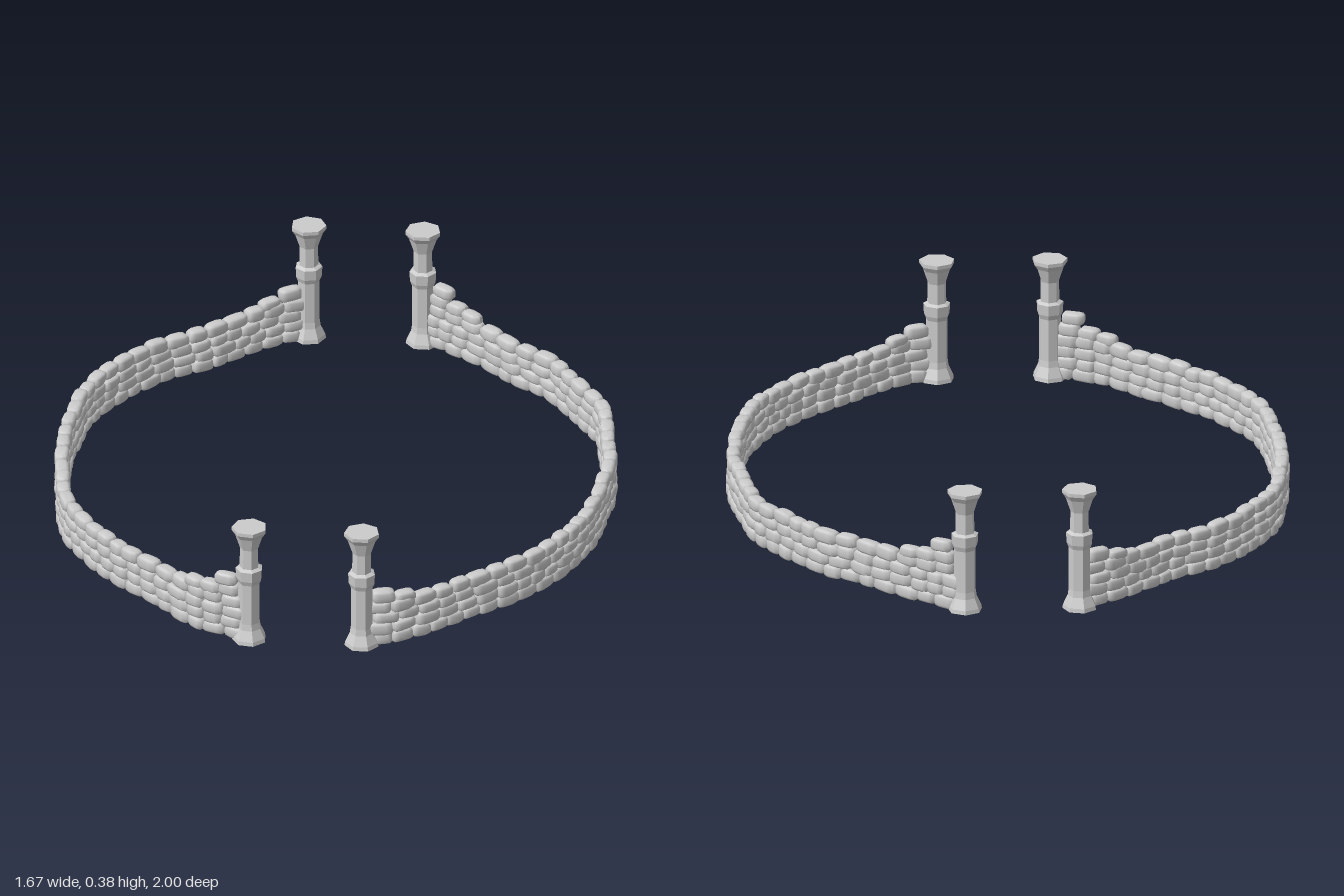
import * as THREE from 'three';

const stoneMat = new THREE.MeshStandardMaterial({ color: 0xcccccc });
const columnMat = new THREE.MeshStandardMaterial({ color: 0xcccccc, flatShading: true });

// small seeded generator, returns -1..1
function makeJitter(seed) {
  return () => {
    seed = (seed * 16807) % 2147483647;
    return (seed / 2147483647) * 2 - 1;
  };
}

// rounded fieldstone: a unit sphere pushed toward a box, with gentle lumps
function stoneGeometry(phase) {
  const g = new THREE.SphereGeometry(1, 10, 8);
  const p = g.attributes.position;
  const v = new THREE.Vector3();
  const square = (c) => Math.sign(c) * Math.pow(Math.abs(c), 0.7);
  for (let i = 0; i < p.count; i++) {
    v.fromBufferAttribute(p, i);
    const lump = 1 + 0.06 * Math.sin(2.5 * v.x + phase) * Math.cos(2 * v.y - phase) + 0.04 * Math.sin(3 * v.z + 2 * phase);
    const l = Math.pow(v.x ** 4 + v.y ** 4 + v.z ** 4, -0.25) * 0.5 + 0.5;
    p.setXYZ(i, square(v.x) * l * lump * 0.96, square(v.y) * l * lump * 0.96, square(v.z) * l * lump * 0.96);
  }
  g.computeVertexNormals();
  return g;
}

// one curved dry-stone wall; the path runs from its lower end to its higher end
function buildWall(name, path, seed, stones) {
  const wall = new THREE.Group();
  wall.name = name;
  const jitter = makeJitter(seed);
  const curve = new THREE.CatmullRomCurve3(path.map(([x, z]) => new THREE.Vector3(x, 0, z)));
  const length = curve.getLength();

  function addStone(s, y, len, h, thick) {
    const t = THREE.MathUtils.clamp(s / length, 0, 1);
    const pos = curve.getPointAt(t);
    const dir = curve.getTangentAt(t);
    const m = new THREE.Mesh(stones[Math.floor((jitter() * 0.5 + 0.5) * stones.length) % stones.length], stoneMat);
    m.name = 'wallStone';
    m.position.set(pos.x - dir.z * jitter() * 0.003, y, pos.z + dir.x * jitter() * 0.003);
    m.rotation.set(0, Math.atan2(-dir.z, dir.x) + jitter() * 0.06, jitter() * 0.06, 'YXZ');
    m.scale.set(len / 2, h / 2, thick / 2);
    wall.add(m);
  }

  // four full courses, joints staggered
  for (let row = 0; row < 4; row++) {
    let s = row % 2 ? -0.02 : 0.0;
    while (s < length) {
      const len = 0.068 + jitter() * 0.014;
      const wobble = row * 0.0012;
      addStone(s + len / 2, 0.027 + row * 0.034 + jitter() * wobble, len + 0.004, 0.04 + jitter() * 0.003, 0.046 - row * 0.001);
      s += len;
    }
  }

  // stepped stones rising to the columns
  addStone(0.03, 0.165, 0.075, 0.042, 0.042);
  addStone(0.1, 0.15, 0.07, 0.032, 0.04);
  for (let i = 0; i < 3; i++) addStone(length - 0.03 - i * 0.062, 0.166 - i * 0.006, 0.068, 0.042 - i * 0.004, 0.042);
  addStone(length - 0.04, 0.2, 0.072, 0.038, 0.04);
  return wall;
}

// seven-sided gate column with flared foot, collar and capital
function buildColumn(name, x, z, turn) {
  const profile = [
    [0, 0.008], [0.052, 0.008], [0.05, 0.02], [0.036, 0.05], [0.033, 0.07], [0.033, 0.2],
    [0.039, 0.215], [0.041, 0.247], [0.029, 0.253], [0.028, 0.315], [0.033, 0.33],
    [0.042, 0.357], [0.053, 0.373], [0.053, 0.384], [0, 0.384],
  ].map(([r, y]) => new THREE.Vector2(r, y));
  const column = new THREE.Mesh(new THREE.LatheGeometry(profile, 7), columnMat);
  column.name = name;
  column.position.set(x, 0, z);
  column.rotation.y = turn;
  return column;
}

export function createModel() {
  const model = new THREE.Group();
  model.name = 'stoneEnclosure';
  const stones = [0, 1.3, 2.6, 3.9, 5.2].map(stoneGeometry);

  model.add(buildWall('leftWall', [
    [0.2, 0.94], [0.24, 0.93], [0.32, 0.875], [0.45, 0.76], [0.585, 0.635], [0.69, 0.5], [0.76, 0.345],
    [0.8, 0.13], [0.807, -0.05], [0.785, -0.21], [0.75, -0.37], [0.675, -0.49], [0.58, -0.625],
    [0.46, -0.72], [0.345, -0.825], [0.2, -0.935],
  ], 4211, stones));
  model.add(buildWall('rightWall', [
    [-0.2, -0.935], [-0.25, -0.905], [-0.38, -0.795], [-0.46, -0.72], [-0.58, -0.635], [-0.69, -0.5], [-0.77, -0.345],
    [-0.805, -0.13], [-0.81, 0], [-0.795, 0.185], [-0.762, 0.37], [-0.675, 0.53], [-0.58, 0.645],
    [-0.445, 0.77], [-0.315, 0.89], [-0.2, 0.943],
  ], 9377, stones));

  model.add(buildColumn('frontLeftColumn', 0.167, 0.948, Math.PI));
  model.add(buildColumn('backLeftColumn', 0.167, -0.948, Math.PI));
  model.add(buildColumn('frontRightColumn', -0.167, 0.948, 1.2));
  model.add(buildColumn('backRightColumn', -0.173, -0.948, Math.PI / 2));
  return model;
}
